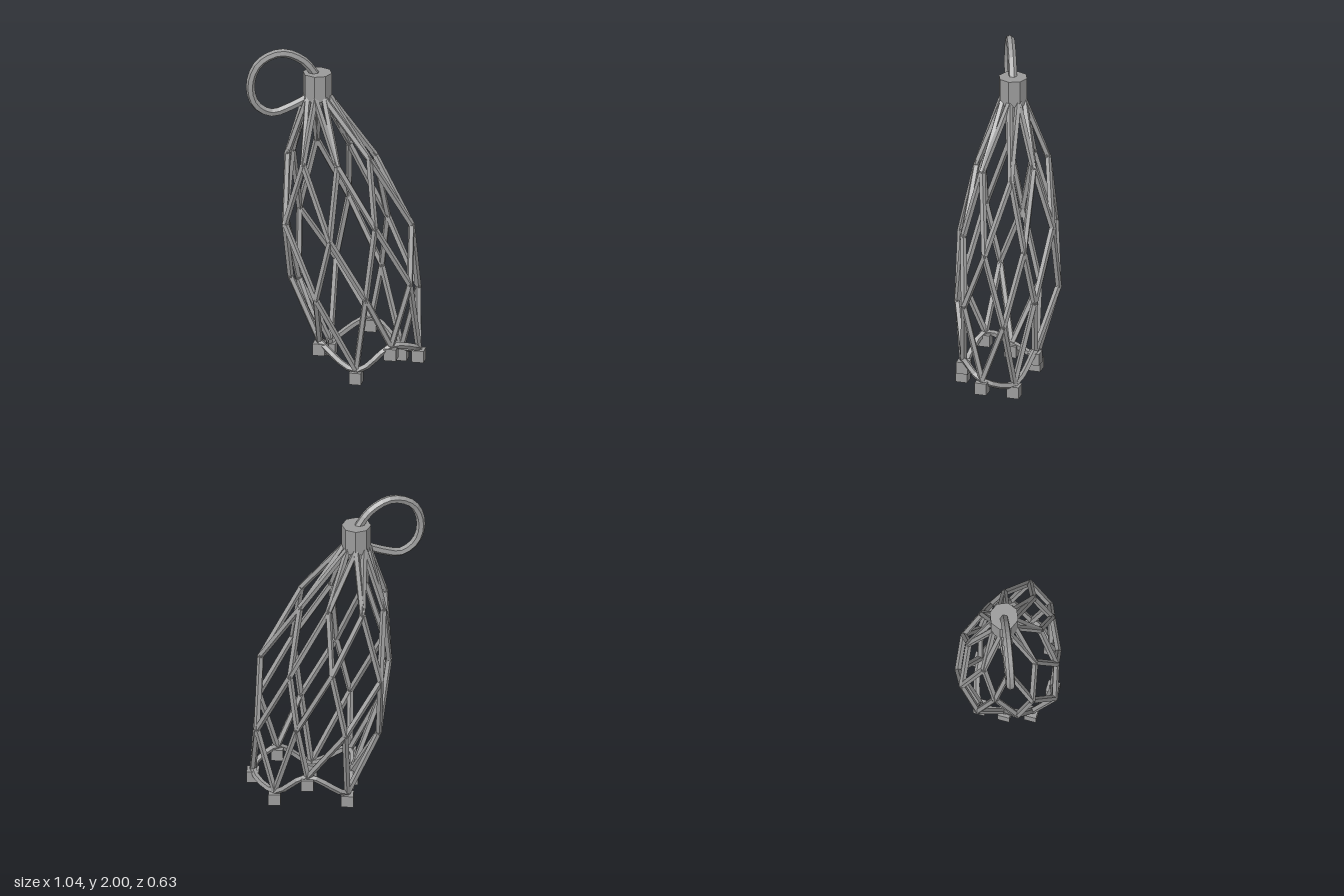
import * as THREE from 'three';

const grey = new THREE.MeshStandardMaterial({ color: 0x9c9c9c });
grey.name = 'plain grey';

// Faceted mesh with a name
function part(name, geometry) {
  const flat = geometry.index ? geometry.toNonIndexed() : geometry;
  flat.computeVertexNormals();
  const mesh = new THREE.Mesh(flat, grey);
  mesh.name = name;
  return mesh;
}

// Straight cord between two knots, slightly overlapping at both ends
function cord(name, a, b, radius) {
  const dir = b.clone().sub(a);
  const length = dir.length();
  const mesh = part(name, new THREE.CylinderGeometry(radius, radius, length + 0.014, 5));
  mesh.position.copy(a).add(b).multiplyScalar(0.5);
  mesh.quaternion.setFromUnitVectors(new THREE.Vector3(0, 1, 0), dir.normalize());
  return mesh;
}

// Knots of one ring: x and z for the front half, mirrored to the back.
// The height ripples three times around the ring.
function ring(half, y, ripple, offset) {
  const knots = [];
  for (let i = 0; i < 8; i++) {
    const mirrored = offset ? i > 3 : i > 4;
    const k = !mirrored ? i : offset ? 7 - i : 8 - i;
    const angle = (i + (offset ? 0.5 : 0)) * Math.PI / 4;
    const [x, z] = half[k];
    knots.push(new THREE.Vector3(x, y + ripple * Math.sin(3 * angle), mirrored ? -z : z));
  }
  return knots;
}

export function createModel() {
  const model = new THREE.Group();
  model.name = 'net bag';
  const hubX = -0.12;

  // Octagonal collar at the top
  const collar = part('collar', new THREE.CylinderGeometry(0.086, 0.086, 0.16, 8));
  collar.position.set(hubX, 1.76, 0);
  model.add(collar);

  // Rings of knots from collar to rim
  const neck = [0, 1, 2, 3, 4].map(i => [
    hubX + 0.068 * Math.cos(i * Math.PI / 4), 0.068 * Math.sin(i * Math.PI / 4)]);
  const rings = [
    ring(neck, 1.7, 0, false),
    ring([[0.205, 0.088], [0.035, 0.175], [-0.165, 0.2], [-0.283, 0.075]], 1.335, 0.02, true),
    ring([[0.44, 0], [0.26, 0.185], [0.01, 0.28], [-0.27, 0.212], [-0.31, 0]], 0.93, 0.04, false),
    ring([[0.455, 0.12], [0.215, 0.235], [-0.07, 0.293], [-0.255, 0.12]], 0.55, 0.055, true),
    ring([[0.484, 0], [0.35, 0.155], [0.155, 0.22], [-0.075, 0.155], [-0.095, 0]], 0.16, 0.082, false),
  ];

  // Diamond net: each knot joins the two neighbours in the next ring
  const net = new THREE.Group();
  net.name = 'net';
  for (let r = 0; r < 4; r++) {
    for (let i = 0; i < 8; i++) {
      for (const side of [0, 1]) {
        const j = (i + (r % 2 ? side : side + 7)) % 8;
        net.add(cord('netCord', rings[r][i], rings[r + 1][j], 0.0195));
      }
    }
  }
  model.add(net);

  // Wavy rim through the bottom knots
  const rimPath = new THREE.CatmullRomCurve3(rings[4], true);
  model.add(part('rim', new THREE.TubeGeometry(rimPath, 32, 0.02, 5, true)));

  // Block weights under the rim
  for (const knot of rings[4]) {
    const weight = part('weight', new THREE.BoxGeometry(0.072, 0.072, 0.072));
    weight.position.set(knot.x, knot.y - 0.042, knot.z);
    model.add(weight);
  }

  // Hanging loop in a slanted plane
  const loopPath = new THREE.CatmullRomCurve3([
    [-0.12, 1.81], [-0.2, 1.92], [-0.32, 1.974], [-0.44, 1.92], [-0.49, 1.79],
    [-0.462, 1.665], [-0.375, 1.606], [-0.27, 1.637], [-0.14, 1.705],
  ].map(([x, y]) => new THREE.Vector3(x, y, (hubX - x) * 0.39)));
  model.add(part('hangingLoop', new THREE.TubeGeometry(loopPath, 24, 0.026, 6)));

  return model;
}
